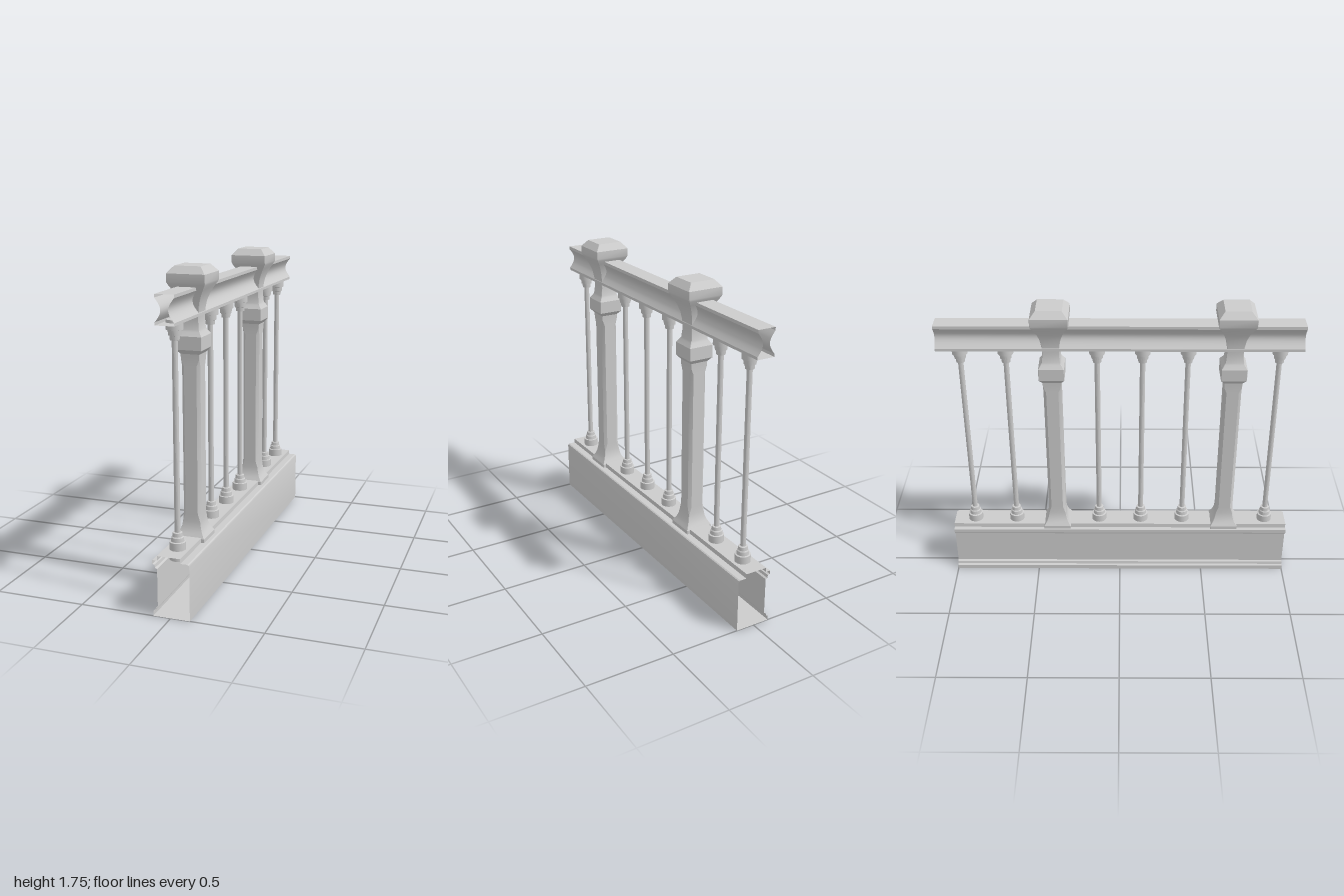
import * as THREE from 'three';
import { toCreasedNormals } from 'three/addons/utils/BufferGeometryUtils.js';

const CENTRE_X = -0.006;
const BAY = 0.25;
const material = new THREE.MeshStandardMaterial({ color: 0xcccccc });
const shellMaterial = new THREE.MeshStandardMaterial({ color: 0xcccccc, side: THREE.DoubleSide });

// Skin a row of closed rings; optionally close both ends with fans
function loft(rings, capped) {
  const pos = [];
  const tri = (a, b, c) => pos.push(...a, ...b, ...c);
  const n = rings[0].length;
  for (let i = 0; i < rings.length - 1; i++) {
    for (let j = 0; j < n; j++) {
      const k = (j + 1) % n;
      const a = rings[i][j], b = rings[i][k], c = rings[i + 1][k], d = rings[i + 1][j];
      tri(a, b, c);
      tri(a, c, d);
    }
  }
  if (capped) {
    const low = rings[0], high = rings[rings.length - 1];
    for (let j = 1; j < n - 1; j++) {
      tri(low[0], low[j + 1], low[j]);
      tri(high[0], high[j], high[j + 1]);
    }
  }
  const geo = new THREE.BufferGeometry();
  geo.setAttribute('position', new THREE.Float32BufferAttribute(pos, 3));
  geo.computeVertexNormals();
  return toCreasedNormals(geo, 0.45);
}

// Open-ended hollow beam running the full length in z
function beam(profile) {
  return loft([-1, 1].map(z => profile.map(([x, y]) => [x, y, z])), false);
}

// Square ring with cut corners
function squareRing([y, h, c = 0.002]) {
  const e = h - c;
  return [[-e, h], [e, h], [h, e], [h, -e], [e, -h], [-e, -h], [-h, -e], [-h, e]]
    .map(([x, z]) => [x, y, z]);
}

function add(group, name, geometry, mat, x = 0, z = 0) {
  const mesh = new THREE.Mesh(geometry, mat);
  mesh.name = name;
  mesh.position.set(x, 0, z);
  group.add(mesh);
}

export function createModel() {
  const group = new THREE.Group();
  group.name = 'balustrade';

  // Base beam: plain on one side, recessed panel between mouldings on the other
  add(group, 'baseBeam', beam([
    [0.105, 0], [0.105, 0.293], [0.102, 0.301], [0.095, 0.305],
    [0.057, 0.305], [0.055, 0.33], [-0.067, 0.33], [-0.069, 0.305],
    [-0.095, 0.305], [-0.095, 0.285], [-0.083, 0.281], [-0.08, 0.265], [-0.069, 0.26],
    [-0.069, 0.05], [-0.08, 0.045], [-0.083, 0.03], [-0.095, 0.025], [-0.095, 0],
  ]), shellMaterial);

  // Handrail with a hollowed cove on each side
  const side = [[0.05, 1.5], [0.05, 1.515]];
  for (let i = 0; i <= 10; i++) {
    const t = i / 10;
    side.push([0.046 - 0.026 * Math.sin(Math.PI * t), 1.52 + 0.108 * t]);
  }
  side.push([0.05, 1.633], [0.05, 1.65]);
  const mirrored = side.map(([x, y]) => [-x, y]).reverse();
  add(group, 'handrail', beam([...side, ...mirrored]), shellMaterial, CENTRE_X);

  // Post: height, half width and corner cut at each level
  const post = loft([
    [0.287, 0.08], [0.325, 0.08], [0.337, 0.073], [0.355, 0.062], [0.38, 0.054],
    [0.405, 0.05], [0.45, 0.05, 0.016], [1.24, 0.05, 0.016], [1.275, 0.05],
    [1.305, 0.052], [1.328, 0.071], [1.398, 0.071], [1.42, 0.056],
    [1.43, 0.051], [1.48, 0.046], [1.53, 0.049], [1.57, 0.056], [1.605, 0.068],
    [1.635, 0.083], [1.66, 0.098], [1.672, 0.103], [1.715, 0.103], [1.752, 0.071],
  ].map(squareRing), true);

  // Baluster: slim rod with stepped collars at both ends
  const baluster = toCreasedNormals(new THREE.LatheGeometry([
    [0, 0.275], [0.043, 0.275], [0.043, 0.372], [0.034, 0.374], [0.032, 0.395],
    [0.027, 0.4], [0.025, 0.42], [0.015, 0.422], [0.015, 1.41],
    [0.024, 1.412], [0.026, 1.435], [0.032, 1.437], [0.034, 1.462],
    [0.043, 1.464], [0.043, 1.515], [0, 1.515],
  ].map(([r, y]) => new THREE.Vector2(r, y)), 20), 0.45);

  // Eight even bays, with posts in the second and sixth
  for (let k = 0; k < 8; k++) {
    const isPost = k % 4 === 1;
    add(group, isPost ? 'post' : 'baluster', isPost ? post : baluster, material,
      CENTRE_X, 0.875 - BAY * k);
  }
  return group;
}
